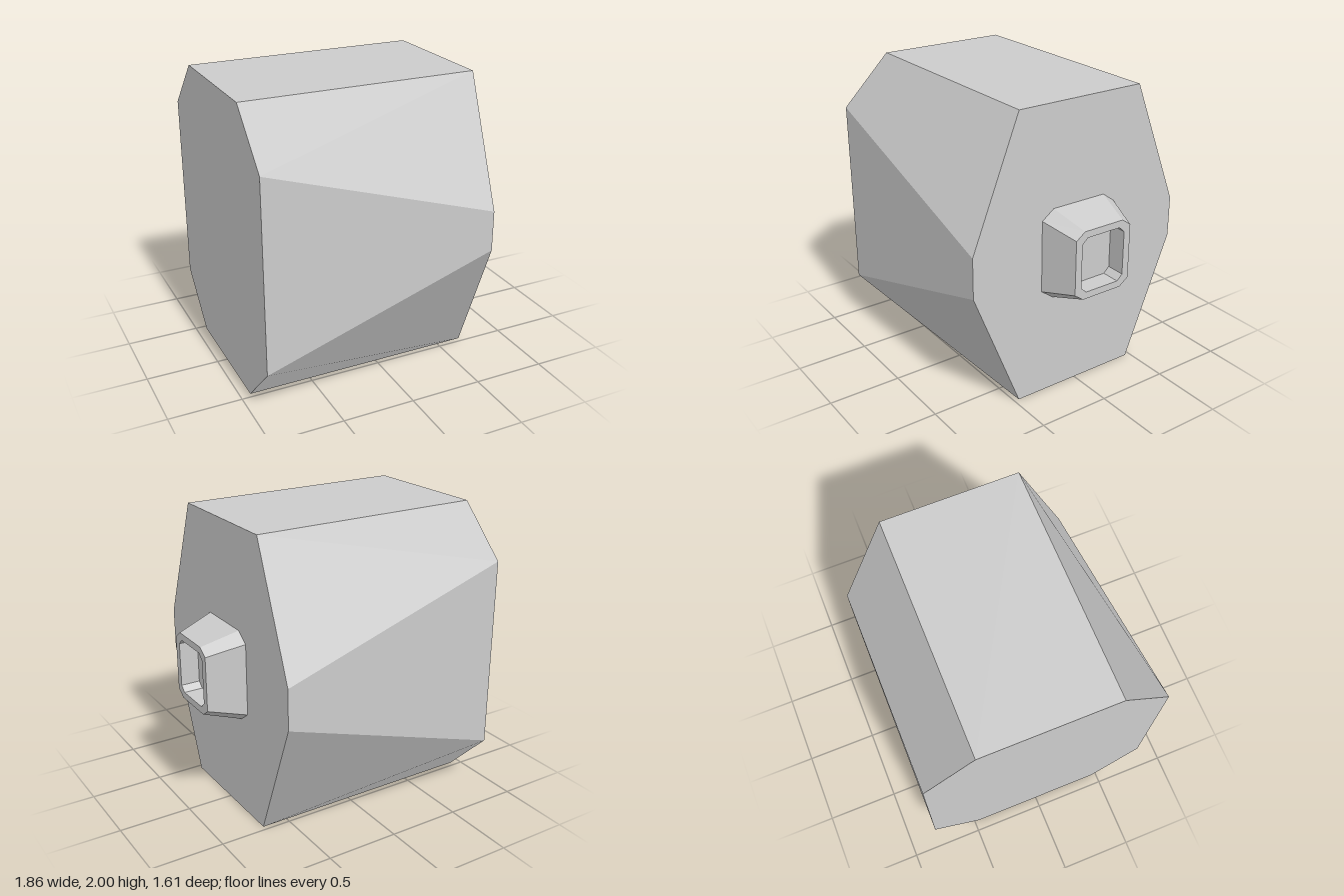
import * as THREE from 'three';

const CY = 1; // height of the long axis

// Eight-cornered section at x: half height h, half depth d, flats ending at fh (sides) and fd (top)
function ring(x, h, d, fh, fd) {
  return [[h, -fd], [h, fd], [fh, d], [-fh, d], [-h, fd], [-h, -fd], [-fh, -d], [fh, -d]]
    .map(([y, z]) => new THREE.Vector3(x, CY + y, z));
}

// Skin a run of rings with flat quads; optionally close the first and last ring
function loft(name, rings, capStart, capEnd) {
  const pos = [], nor = [];
  const tri = (n, ...pts) => pts.forEach(p => {
    pos.push(p.x, p.y, p.z);
    nor.push(n.x, n.y, n.z);
  });
  for (let r = 0; r < rings.length - 1; r++) {
    const a = rings[r], b = rings[r + 1];
    for (let i = 0; i < 8; i++) {
      const j = (i + 1) % 8;
      const q = [a[i], a[j], b[j], b[i]];
      // One flat normal per quad, from its diagonals
      const n = q[2].clone().sub(q[0]).cross(q[3].clone().sub(q[1])).normalize();
      // Mirror the split so the twisted bevels stay convex
      if (i % 4 === 1) {
        tri(n, q[0], q[1], q[3]);
        tri(n, q[1], q[2], q[3]);
      } else {
        tri(n, q[0], q[1], q[2]);
        tri(n, q[0], q[2], q[3]);
      }
    }
  }
  const first = rings[0], last = rings[rings.length - 1];
  for (let i = 1; i < 7; i++) {
    if (capStart) tri(new THREE.Vector3(-1, 0, 0), first[0], first[i + 1], first[i]);
    if (capEnd) tri(new THREE.Vector3(1, 0, 0), last[0], last[i], last[i + 1]);
  }
  const geo = new THREE.BufferGeometry();
  geo.setAttribute('position', new THREE.Float32BufferAttribute(pos, 3));
  geo.setAttribute('normal', new THREE.Float32BufferAttribute(nor, 3));
  const mesh = new THREE.Mesh(geo, new THREE.MeshStandardMaterial({ color: 0xcccccc }));
  mesh.name = name;
  return mesh;
}

export function createModel() {
  const group = new THREE.Group();
  group.name = 'bevelledBlockWithSpout';

  // Main block: the bevels widen toward the spout end
  group.add(loft('body', [
    ring(-0.93, 1, 0.804, 0.66, 0.465),
    ring(0.68, 1, 0.804, 0.14, 0.465),
  ], true, true));

  // Tapered spout with a rim and a shallow straight recess
  group.add(loft('spout', [
    ring(0.68, 0.312, 0.288, 0.247, 0.2),
    ring(0.93, 0.235, 0.216, 0.187, 0.15),
    ring(0.93, 0.188, 0.167, 0.15, 0.127),
    ring(0.80, 0.188, 0.167, 0.15, 0.127),
  ], false, true));

  return group;
}
